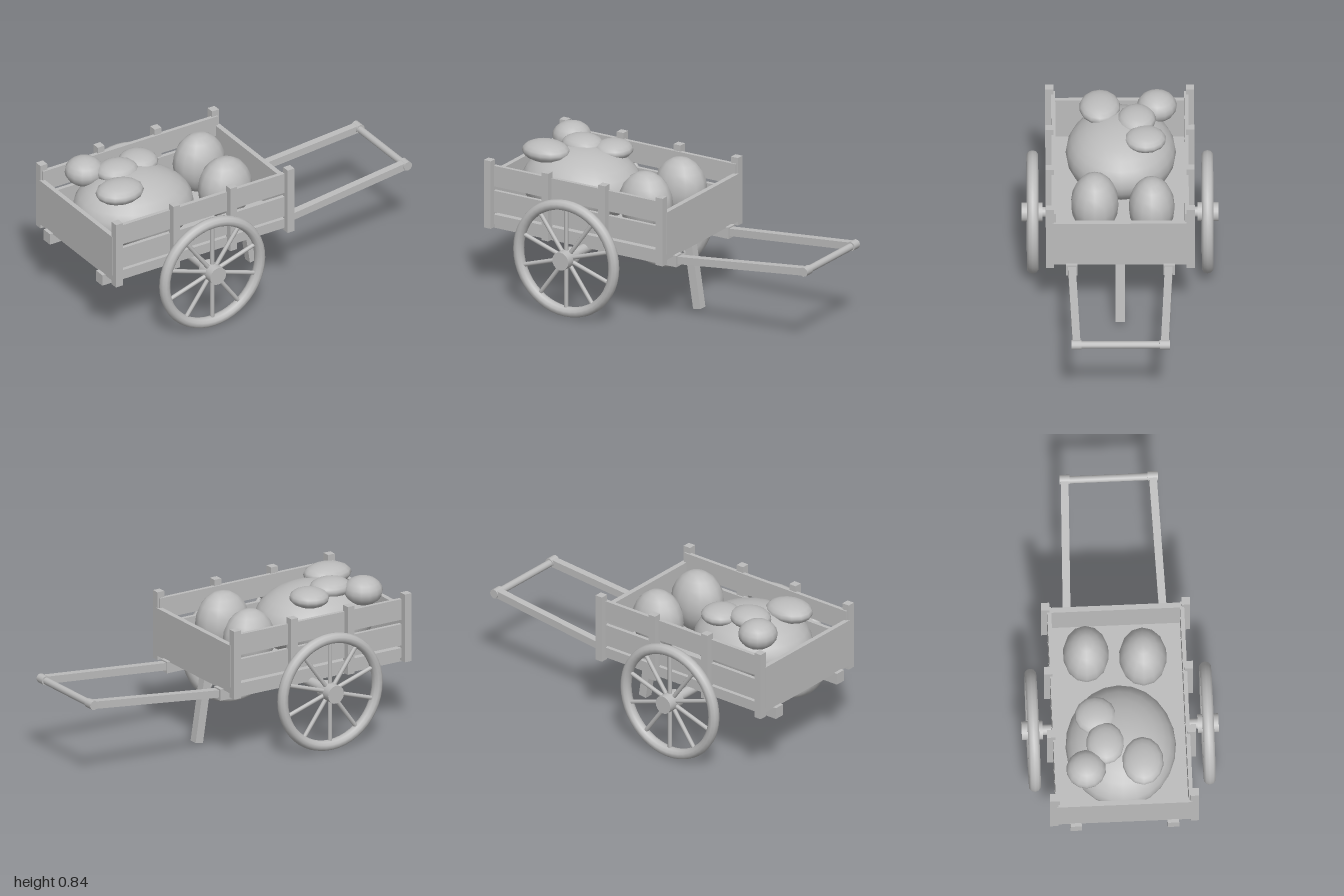
import * as THREE from 'three';

export function createModel() {
  const model = new THREE.Group();
  model.name = 'handcart';
  const grey = new THREE.MeshStandardMaterial({ color: 0xbcbcbc });
  grey.name = 'plain grey';

  const add = (name, geometry, x = 0, y = 0, z = 0, parent = model) => {
    const mesh = new THREE.Mesh(geometry, grey);
    mesh.name = name;
    mesh.position.set(x, y, z);
    parent.add(mesh);
    return mesh;
  };
  // Box given by its lower and upper limits on each axis
  const box = (name, [x0, x1], [y0, y1], [z0, z1]) =>
    add(name, new THREE.BoxGeometry(x1 - x0, y1 - y0, z1 - z0),
      (x0 + x1) / 2, (y0 + y1) / 2, (z0 + z1) / 2);
  // Square bar running between two points
  const beam = (name, from, to, width) => {
    const a = new THREE.Vector3(...from), b = new THREE.Vector3(...to);
    const mesh = add(name, new THREE.BoxGeometry(width, width, a.distanceTo(b)));
    mesh.position.copy(a).lerp(b, 0.5);
    mesh.lookAt(b);
    return mesh;
  };

  // Tray: floor and the two end boards
  box('floor', [-0.98, 0.16], [0.405, 0.44], [-0.36, 0.36]);
  box('frontBoard', [0.135, 0.164], [0.44, 0.68], [-0.365, 0.365]);
  box('rearBoard', [-0.984, -0.957], [0.44, 0.68], [-0.365, 0.365]);

  // Slatted sides, posts, chassis rails and pull shafts, mirrored
  for (const s of [1, -1]) {
    const span = (a, b) => (s > 0 ? [a, b] : [-b, -a]);
    for (const y of [[0.617, 0.735], [0.47, 0.592], [0.4, 0.455]]) {
      box('sideSlat', [-0.97, 0.15], y, span(0.348, 0.37));
    }
    for (const x of [-0.959, -0.592, -0.228, 0.139]) {
      box('sidePost', [x - 0.022, x + 0.022], [0.382, 0.77], span(0.357, 0.402));
    }
    box('chassisRail', [-1, 0.18], [0.347, 0.412], span(0.232, 0.294));
    beam('pullShaft', [0.15, 0.38, s * 0.262], [0.975, 0.465, s * 0.238], 0.042);
    add('gripCap', new THREE.CylinderGeometry(0.026, 0.026, 0.055, 12),
      0.974, 0.466, s * 0.238).rotation.x = Math.PI / 2;
  }
  add('gripBar', new THREE.CylinderGeometry(0.02, 0.02, 0.48, 12), 0.972, 0.464, 0)
    .rotation.x = Math.PI / 2;

  // Prop leg
  const leg = add('propLeg', new THREE.BoxGeometry(0.048, 0.355, 0.05), 0.113, 0.193, 0);
  leg.rotation.z = 0.155;

  // Axle and two ten-spoked wheels
  const wheelX = -0.41, wheelY = 0.338;
  add('axle', new THREE.CylinderGeometry(0.028, 0.028, 0.94, 16), wheelX, wheelY, 0)
    .rotation.x = Math.PI / 2;
  for (const s of [1, -1]) {
    const wheel = new THREE.Group();
    wheel.name = 'wheel';
    wheel.position.set(wheelX, wheelY, s * 0.472);
    model.add(wheel);
    add('rim', new THREE.TorusGeometry(0.304, 0.029, 10, 48), 0, 0, 0, wheel).scale.z = 1.12;
    add('hub', new THREE.CylinderGeometry(0.051, 0.051, 0.114, 20), 0, 0, s * 0.003, wheel)
      .rotation.x = Math.PI / 2;
    for (let i = 0; i < 10; i++) {
      const a = Math.PI / 2 + (i * Math.PI) / 5;
      add('spoke', new THREE.CylinderGeometry(0.012, 0.012, 0.27, 8),
        Math.cos(a) * 0.165, Math.sin(a) * 0.165, 0, wheel).rotation.z = a - Math.PI / 2;
    }
  }

  // Rounded load: centre followed by radii
  const load = [
    [-0.612, 0.59, -0.005, 0.34, 0.2, 0.298],
    [-0.085, 0.612, -0.17, 0.15, 0.173, 0.125],
    [-0.114, 0.615, 0.137, 0.155, 0.176, 0.13],
    [-0.8, 0.762, -0.2, 0.107, 0.08, 0.108],
    [-0.77, 0.775, 0.108, 0.138, 0.058, 0.112],
    [-0.495, 0.762, -0.137, 0.108, 0.052, 0.112],
    [-0.66, 0.775, -0.09, 0.12, 0.055, 0.104],
  ];
  load.forEach(([x, y, z, rx, ry, rz], i) => {
    const sphere = new THREE.SphereGeometry(1, i ? 14 : 24, i ? 10 : 14);
    add(i ? 'smallProduce' : 'largeProduce', sphere, x, y, z).scale.set(rx, ry, rz);
  });

  return model;
}
